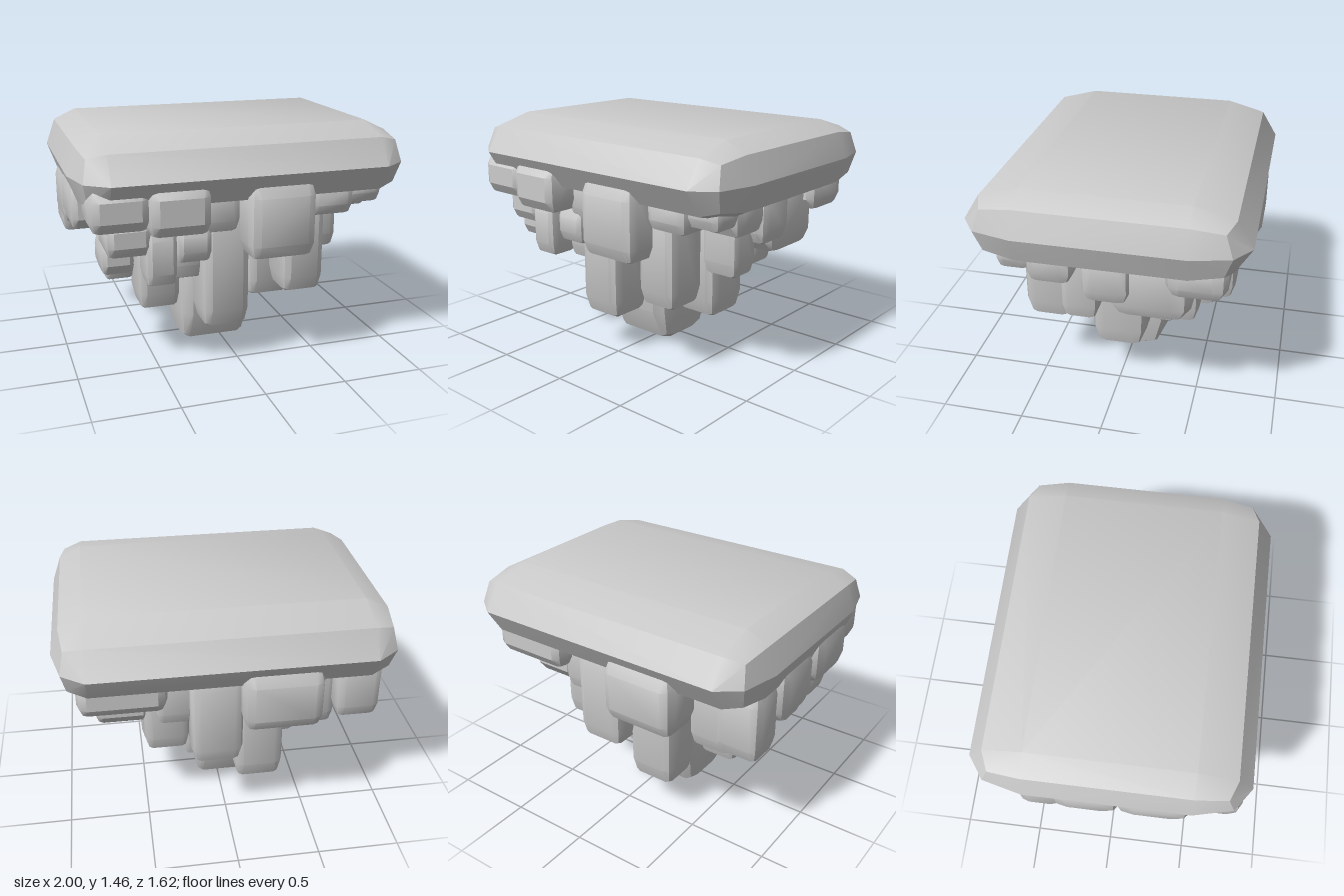
import * as THREE from 'three';
import { ConvexGeometry } from 'three/addons/geometries/ConvexGeometry.js';
import { toCreasedNormals } from 'three/addons/utils/BufferGeometryUtils.js';

const material = new THREE.MeshStandardMaterial({ color: 0xcccccc });

// Box with two-step rounded corners; each axis has its own radius.
// A steepness above 1 moves the middle of the bevel towards the top and bottom.
function bevelledBlock(name, min, max, radius, steepness) {
  const lo = new THREE.Vector3(...min);
  const hi = new THREE.Vector3(...max);
  const r = new THREE.Vector3(...radius);
  const core = hi.clone().sub(lo).multiplyScalar(0.5).sub(r);
  const points = [];
  for (let d = 1; d < 8; d++) {
    // Axis, edge and corner directions of one octant, mirrored to all eight
    const p = new THREE.Vector3(d & 1, d & 2 ? steepness : 0, d & 4 ? 1 : 0);
    p.normalize().multiply(r).add(core);
    for (const sx of [-1, 1]) for (const sy of [-1, 1]) for (const sz of [-1, 1]) {
      points.push(new THREE.Vector3(sx * p.x, sy * p.y, sz * p.z));
    }
  }
  const mesh = new THREE.Mesh(toCreasedNormals(new ConvexGeometry(points), 0.5), material);
  mesh.name = name;
  mesh.position.copy(lo).add(hi).multiplyScalar(0.5);
  return mesh;
}

const rockSteepness = 1.7;

// Hanging rocks, each as [x0, x1, y0, y1, z0, z1]
const tiers = {
  deepRock: [
    [-0.24, 0.06, 0.24, 1.10, 0.26, 0.58],
    [0.19, 0.50, 0.24, 1.10, -0.16, 0.18],
    [-0.55, -0.27, 0.24, 1.10, -0.12, 0.20],
    [-0.36, -0.05, 0.24, 1.10, -0.55, -0.25],
    [0.02, 0.25, 0.28, 1.10, -0.32, -0.12],
    [0.26, 0.53, 0.42, 1.12, 0.30, 0.60],
  ],
  middleRock: [
    [0.22, 0.50, 0.48, 1.10, -0.49, -0.25],
    [-0.08, 0.23, 0.50, 1.12, -0.68, -0.45],
    [0.50, 0.75, 0.59, 1.12, 0.07, 0.30],
    [-0.44, -0.20, 0.55, 1.08, 0.28, 0.50],
    [-0.60, -0.41, 0.58, 0.94, 0.42, 0.66],
    [-0.79, -0.60, 0.53, 1.08, 0.08, 0.36],
    [-0.95, -0.67, 0.66, 1.12, -0.56, -0.30],
    [-0.70, -0.42, 0.55, 1.10, -0.45, -0.18],
    [-0.84, -0.64, 0.64, 0.86, 0.28, 0.56],
    [-0.41, -0.19, 0.69, 0.92, 0.38, 0.62],
    [0.18, 0.43, 0.73, 1.12, -0.57, -0.36],
    [0.44, 0.80, 0.68, 1.10, -0.48, 0.00],
  ],
  upperRock: [
    [-0.02, 0.39, 0.72, 1.18, 0.50, 0.79],
    [-0.61, -0.24, 0.91, 1.21, 0.46, 0.80],
    [-0.93, -0.58, 0.95, 1.21, 0.44, 0.77],
    [-0.53, -0.06, 0.79, 1.18, -0.80, -0.50],
    [-0.83, -0.55, 0.77, 1.00, 0.36, 0.66],
    [0.55, 0.84, 0.78, 1.10, -0.14, 0.15],
    [0.36, 0.88, 0.90, 1.14, -0.69, -0.34],
    [0.62, 0.88, 0.90, 1.14, 0.18, 0.46],
    [0.39, 0.68, 0.92, 1.14, 0.42, 0.67],
    [0.62, 0.88, 0.97, 1.14, 0.42, 0.63],
    [-0.30, -0.02, 0.86, 1.14, 0.42, 0.62],
    [-0.99, -0.74, 0.90, 1.20, 0.05, 0.48],
    [-0.98, -0.72, 0.82, 1.16, -0.34, 0.06],
  ],
};

export function createModel() {
  const model = new THREE.Group();
  model.name = 'floatingIsland';

  // Wide top slab, fully rounded in height
  model.add(bevelledBlock('topSlab', [-1, 1.015, -0.81], [1, 1.455, 0.81], [0.19, 0.22, 0.33], 1));

  // Lowest rock, with a long taper at its foot
  model.add(bevelledBlock('lowestRock', [-0.30, 0, -0.25], [0.18, 1.1, 0.28], [0.08, 0.22, 0.17], rockSteepness));

  // Clusters of rocks tapering down towards the lowest one
  for (const [name, rocks] of Object.entries(tiers)) {
    const cluster = new THREE.Group();
    cluster.name = name + 's';
    rocks.forEach(([x0, x1, y0, y1, z0, z1], i) => {
      const radius = [
        Math.min(0.06, (x1 - x0) * 0.18),
        0.05 + (y1 - y0) * 0.08,
        (z1 - z0) * 0.24,
      ];
      cluster.add(bevelledBlock(name + (i + 1), [x0, y0, z0], [x1, y1, z1], radius, rockSteepness));
    });
    model.add(cluster);
  }
  return model;
}
